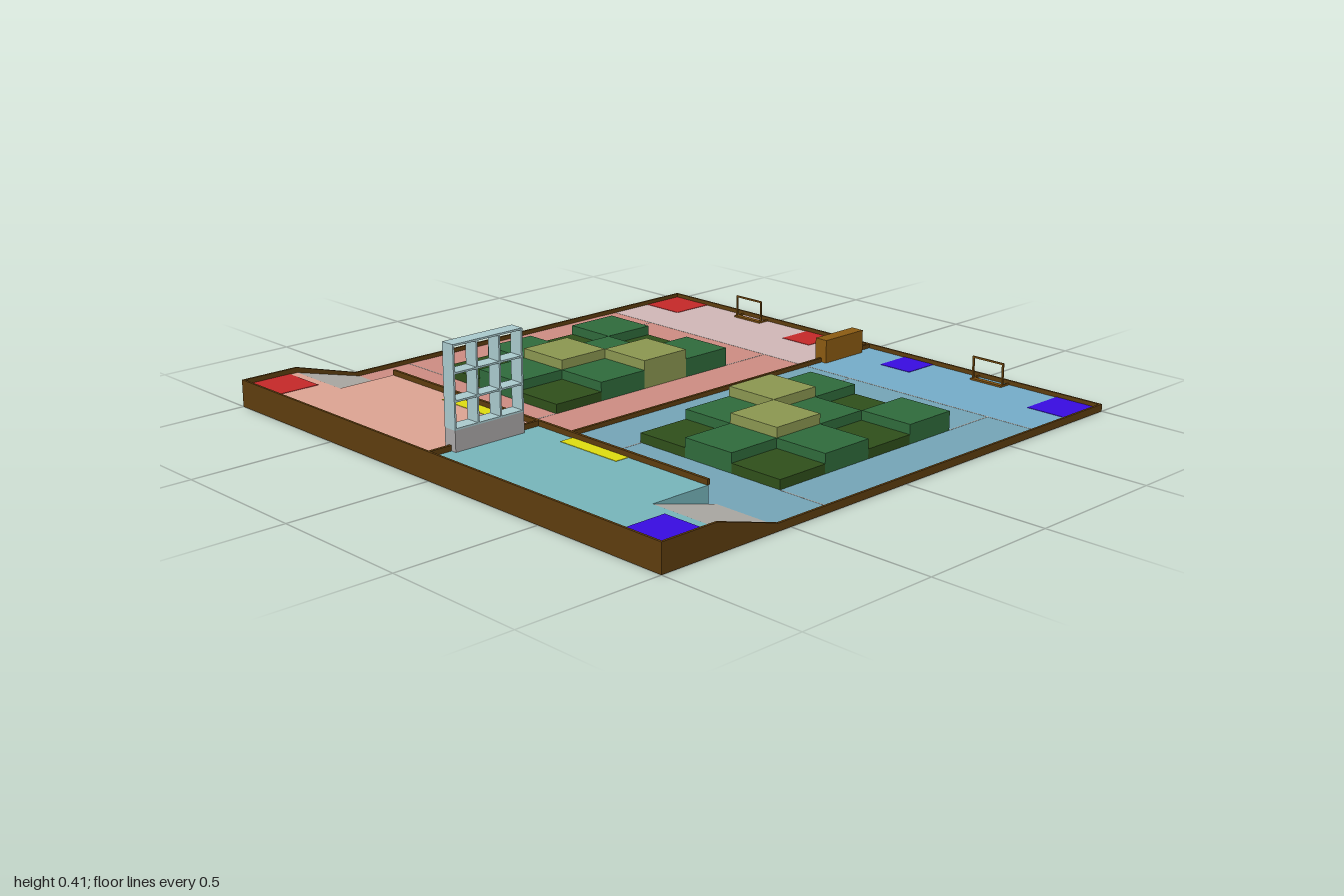
import * as THREE from 'three';

const FLOOR = 0.01, DECK = 0.075, RIM = 0.093, LOW_RIM = 0.025, WALL = 0.008;
const BROWN = 0x5e3d0e;

const materials = new Map();
function mat(color) {
  if (!materials.has(color)) materials.set(color, new THREE.MeshStandardMaterial({ color }));
  return materials.get(color);
}

// Box given by its limits on each axis
function box(parent, name, color, [xa, xb], [y0, y1], [z0, z1]) {
  const w = Math.abs(xb - xa);
  const mesh = new THREE.Mesh(new THREE.BoxGeometry(w, y1 - y0, z1 - z0), mat(color));
  mesh.position.set((xa + xb) / 2, (y0 + y1) / 2, (z0 + z1) / 2);
  mesh.name = name;
  parent.add(mesh);
  return mesh;
}

// Side profile of [z, y] points, extruded across x
function profile(parent, name, color, points, xa, xb) {
  const shape = new THREE.Shape(points.map(([z, y]) => new THREE.Vector2(z, y)));
  const geometry = new THREE.ExtrudeGeometry(shape, { depth: Math.abs(xb - xa), bevelEnabled: false });
  geometry.rotateY(-Math.PI / 2);
  geometry.translate(Math.max(xa, xb), 0, 0);
  const mesh = new THREE.Mesh(geometry, mat(color));
  mesh.name = name;
  parent.add(mesh);
}

const HALVES = [
  { s: -1, side: 'right', back: 0xd0b6b6, mid: 0xcd8c82, deck: 0xdca392, team: 0xc42828 },
  { s: 1, side: 'left', back: 0x74acc8, mid: 0x74a4b6, deck: 0x76b4ba, team: 0x380be0 },
];

// Tile field, rows from back to front, columns from the centre outwards
const TILES = ['gdg', 'ogd', 'gog', 'dgd'];
const TILE_KINDS = {
  d: { color: 0x2f4f1a, top: 0.042 },
  g: { color: 0x2f6a3b, top: 0.075 },
  o: { color: 0x8a9650, top: 0.109 },
};

function buildHalf({ s, side, back, mid, deck, team }) {
  const half = new THREE.Group();
  half.name = side + 'Half';
  const span = (a, b) => [s * a, s * b];
  const outer = 1 - WALL;

  // Floor zones and raised deck
  box(half, 'backFloor', back, span(0, outer), [0.004, FLOOR], [-outer, -0.66]);
  box(half, 'middleFloor', mid, span(0, outer), [0.004, FLOOR], [-0.66, 0.57]);
  box(half, 'deck', deck, span(0, 0.745), [0.004, DECK], [0.57, outer]);
  box(half, 'deckCorner', deck, span(0.745, outer), [0.004, DECK], [0.79, outer]);
  box(half, 'deckCurb', BROWN, span(0, 0.745), [DECK, RIM], [0.565, 0.575]);

  // Ramp up to the deck, and the side wall that follows it
  profile(half, 'ramp', 0xb2b0aa,
    [[0.54, FLOOR - 0.004], [0.79, FLOOR - 0.004], [0.79, DECK], [0.54, FLOOR]],
    s * 0.745, s * outer);
  profile(half, 'sideWall', BROWN,
    [[-1, 0], [1, 0], [1, RIM], [0.79, RIM], [0.55, LOW_RIM], [-1, LOW_RIM]],
    s * outer, s);

  // Coloured floor marks
  const mark = 0.0015;
  const low = [FLOOR, FLOOR + mark], high = [DECK, DECK + mark];
  box(half, 'backCornerMark', team, span(0.825, outer), low, [-outer, -0.83]);
  box(half, 'backInnerMark', team, span(0.17, 0.3), low, [-outer, -0.86]);
  box(half, 'frontCornerMark', team, span(0.825, outer), high, [0.82, outer]);
  box(half, 'yellowMark', 0xdedc10, span(0.165, 0.415), high, [0.575, 0.625]);

  // Thin guide lines
  const line = [FLOOR, FLOOR + 0.0006], pale = 0xb8b4b0, t = 0.002;
  box(half, 'guideLine', pale, span(0, outer), line, [-0.66 - t, -0.66 + t]);
  box(half, 'guideLine', pale, span(0.795, outer), line, [0.325 - t, 0.325 + t]);
  for (const [x, z0, z1] of [[0.203, -0.66, -0.46], [0.793, -0.66, -0.46], [0.203, 0.325, 0.565]]) {
    box(half, 'guideLine', pale, span(x - t, x + t), line, [z0, z1]);
  }

  // Stepped tile field
  const field = new THREE.Group();
  field.name = 'tileField';
  const tw = 0.198, td = 0.1965;
  TILES.forEach((row, r) => [...row].forEach((kind, c) => {
    const { color, top } = TILE_KINDS[kind];
    const x = 0.2 + c * tw, z = -0.461 + r * td;
    box(field, 'tile', color, span(x, x + tw), [0.005, top], [z, z + td]);
  }));
  half.add(field);

  // Small goal frame at the back wall
  const goal = new THREE.Group();
  goal.name = 'goal';
  const wood = 0x7a4e10, b = 0.006, g0 = 0.5, g1 = 0.63;
  for (const x of [g0, g1 - b]) {
    box(goal, 'goalPost', wood, span(x, x + b), [FLOOR, RIM], [-0.96, -0.954]);
    box(goal, 'goalFoot', wood, span(x, x + b), [FLOOR, FLOOR + b], [-outer, -0.945]);
  }
  box(goal, 'goalCrossbar', wood, span(g0, g1), [RIM - b, RIM], [-0.96, -0.954]);
  box(goal, 'goalSill', wood, span(g0, g1), [FLOOR, FLOOR + b], [-0.965, -0.945]);
  half.add(goal);
  return half;
}

// Open rack of three by three cells on a solid base
function buildRack() {
  const rack = new THREE.Group();
  rack.name = 'rack';
  const x = [-0.025, 0.025], z0 = 0.648, z1 = 0.914, y0 = 0.143, y1 = 0.409, t = 0.006;
  const color = 0xa9c9cd;
  box(rack, 'rackBase', 0xaaa8a8, x, [DECK, y0], [z0, z1]);
  for (let i = 0; i < 4; i++) {
    const y = y0 + (y1 - y0 - t) * i / 3;
    const z = z0 + (z1 - z0 - t) * i / 3;
    box(rack, 'rackShelf', color, x, [y, y + t], [z0, z1]);
    box(rack, 'rackUpright', color, x, [y0, y1], [z, z + t]);
  }
  return rack;
}

export function createModel() {
  const model = new THREE.Group();
  model.name = 'gameField';
  const outer = 1 - WALL;

  // Base slab and end walls
  box(model, 'baseSlab', BROWN, [-outer, outer], [0, 0.006], [-outer, outer]);
  box(model, 'frontWall', BROWN, [-outer, outer], [0, RIM], [outer, 1]);
  box(model, 'backWall', BROWN, [-outer, outer], [0, LOW_RIM], [-1, -outer]);

  // Centre divider, low on the floor and high on the deck
  box(model, 'floorDivider', BROWN, [-0.005, 0.005], [0.005, LOW_RIM], [-outer, 0.57]);
  box(model, 'deckDivider', BROWN, [-0.005, 0.005], [DECK - 0.01, RIM], [0.57, outer]);

  for (const half of HALVES) model.add(buildHalf(half));

  // Centre features
  box(model, 'backBlock', 0x8a5a12, [-0.025, 0.025], [FLOOR, RIM], [-0.93, -0.735]);
  model.add(buildRack());
  return model;
}
